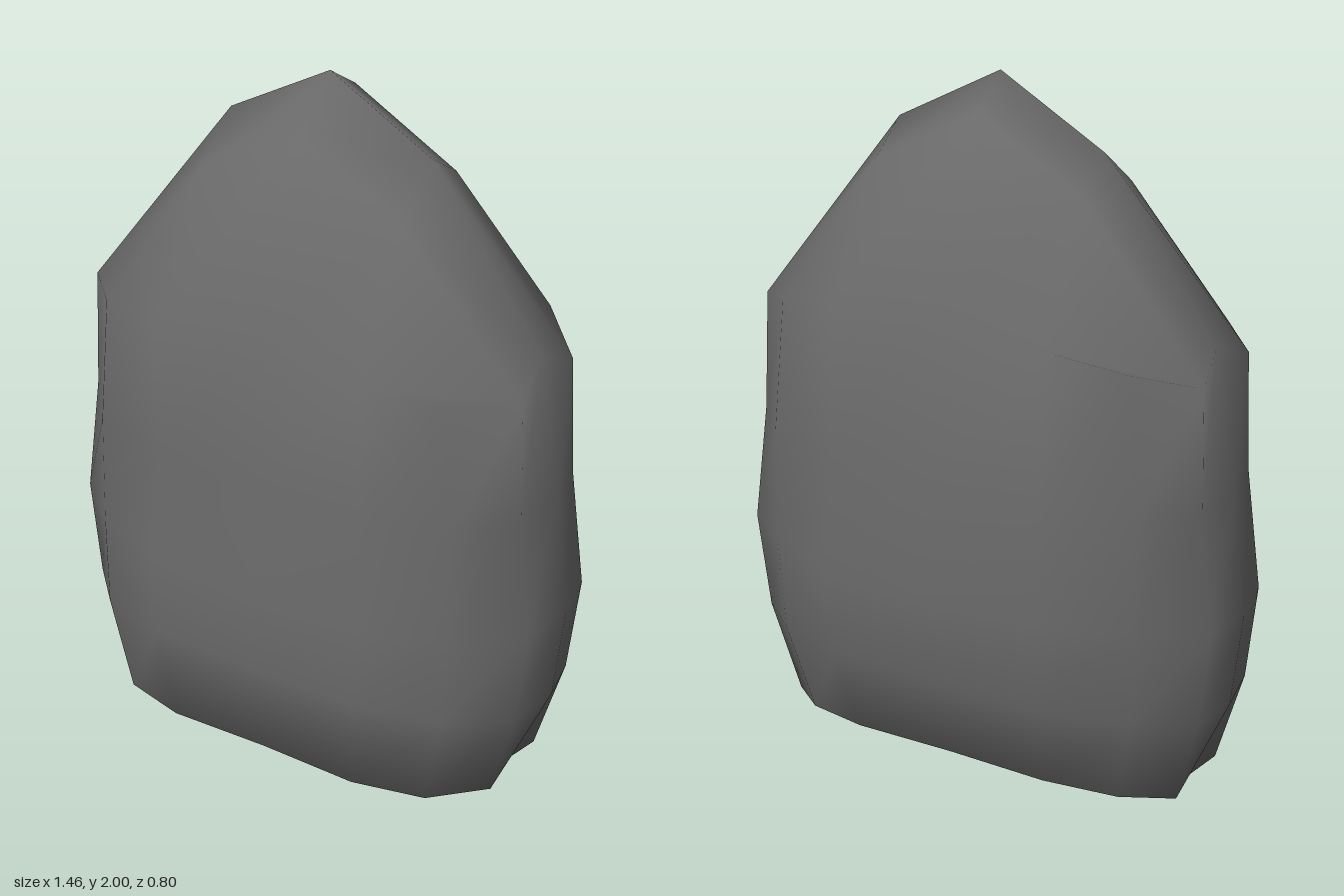
import * as THREE from 'three';
import { mergeVertices } from 'three/addons/utils/BufferGeometryUtils.js';

// Rings from top to bottom: height at sides, front, back; half width, front depth, back depth; corner fullness
const RINGS = [
  [1.31, 1.35, 1.42, 0.65, 0.36, 0.345, 0.79],
  [0.97, 0.96, 1.0, 0.69, 0.37, 0.37, 0.785],
  [0.63, 0.65, 0.67, 0.73, 0.4, 0.4, 0.745],
  [0.35, 0.41, 0.4, 0.7, 0.4, 0.37, 0.765],
  [0.08, 0.115, 0.14, 0.6, 0.36, 0.29, 0.8],
];

// Rounded outline of a ring (fractions of half width and depth); the end rings are boxier
function outline(ax, az, corner, isEnd) {
  if (ax === 1 && az === 1) return [corner, corner];
  if (az === 1) return ax ? [isEnd ? 0.48 : 0.45, 0.98] : [0, isEnd ? 0.96 : 1];
  return az ? [isEnd ? 1 : 0.96, 0.39] : [isEnd ? 0.96 : 1, 0];
}

function ringPoint(p) {
  const level = Math.round((1 - p.y) * 2);
  const [ySide, yFront, yBack, w, front, back, corner] = RINGS[level];
  const ax = Math.abs(p.x), az = Math.abs(p.z);
  const [fx, fz] = outline(ax, az, corner, level === 0 || level === 4);
  const yEnd = p.z > 0 ? yFront : yBack;
  let y = az === 1 ? (ax === 1 ? (ySide + yEnd) / 2 : yEnd) : ySide;
  // The middle of each top edge rises a little
  if (level === 0 && (ax === 0 || az === 0)) y += 0.06;
  // The back is rounder towards the sides
  const depth = p.z > 0 ? front : ax === 1 ? back * 0.93 : back;
  p.set(Math.sign(p.x) * fx * w, y, Math.sign(p.z) * fz * depth);
}

// Inner points of the pointed top and the shallow underside
function capPoint(p) {
  const top = p.y > 0;
  const dropX = p.x ? (top ? 0.17 : 0.015) : 0;
  const dropZ = p.z ? (top ? (p.z > 0 ? 0.12 : 0.08) : 0.038) : 0;
  const drop = dropX + dropZ;
  const z = p.z > 0 ? 0.15 : -0.12;
  p.set(Math.sign(p.x) * 0.3, top ? 2 - drop : drop, p.z ? z : 0);
}

export function createModel() {
  const group = new THREE.Group();
  group.name = 'boulder';

  let geometry = new THREE.BoxGeometry(2, 2, 2, 4, 4, 4);
  geometry.deleteAttribute('uv');
  geometry.deleteAttribute('normal');
  geometry.clearGroups();
  geometry = mergeVertices(geometry);

  // Reshape the box grid into the stone
  const pos = geometry.attributes.position;
  const p = new THREE.Vector3();
  for (let i = 0; i < pos.count; i++) {
    p.fromBufferAttribute(pos, i);
    if (Math.abs(p.x) === 1 || Math.abs(p.z) === 1) ringPoint(p);
    else capPoint(p);
    pos.setXYZ(i, p.x, p.y, p.z);
  }
  geometry.computeVertexNormals();

  const stone = new THREE.Mesh(geometry, new THREE.MeshStandardMaterial({ color: 0x6b6b6b }));
  stone.name = 'stone';
  group.add(stone);
  return group;
}
